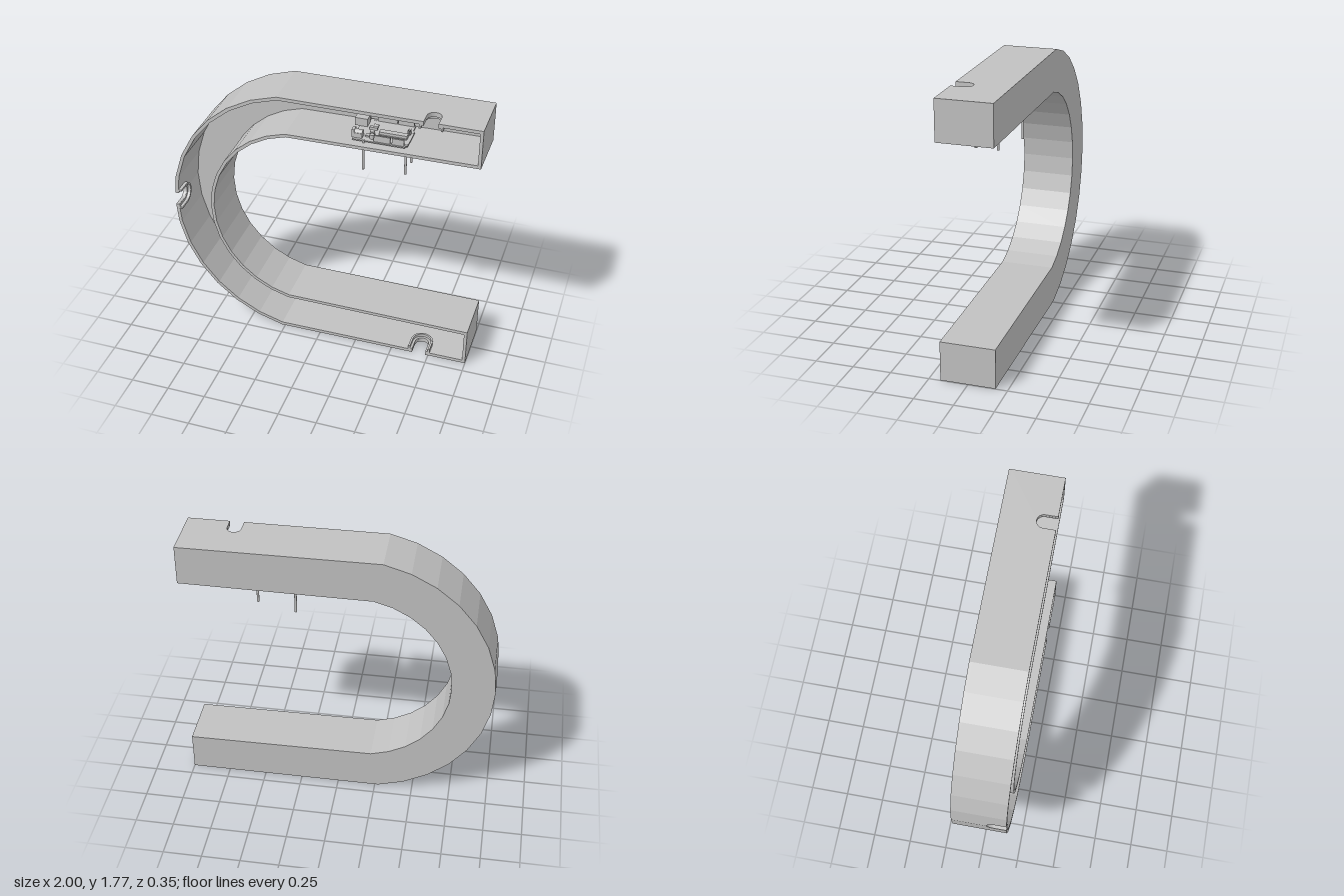
import * as THREE from 'three';
import { mergeGeometries } from 'three/addons/utils/BufferGeometryUtils.js';

const grey = new THREE.MeshStandardMaterial({ color: 0xc0c0c0 });
grey.name = 'plain grey';

const CX = -0.097, CY = 0.886, END = 1;       // centre of the bend, end of the arms
const BACK = -0.175, FRONT = 0.175, WALL = 0.02;
const SLOT_X = 0.687, SLOT_R = 0.045, SLOT_Z = 0.095;

function add(parent, name, geometry, x = 0, y = 0, z = 0) {
  const mesh = new THREE.Mesh(geometry, grey);
  mesh.name = name;
  mesh.position.set(x, y, z);
  parent.add(mesh);
  return mesh;
}

// U path from the lower arm's end, round the bend, to the upper arm's end
function uPath(radius, endHalf) {
  const pts = [new THREE.Vector2(END, CY - endHalf)];
  for (let k = -7; k <= 7; k++) {
    const a = k * Math.PI / 16;
    pts.push(new THREE.Vector2(CX - radius * Math.cos(a), CY + radius * Math.sin(a)));
  }
  pts.push(new THREE.Vector2(END, CY + endHalf));
  return pts;
}

// One mitred wall panel between two paths, with an optional round-ended slot
function panel(p0, p1, q0, q1, slotAt) {
  const z0 = BACK + WALL, pts = [[0, z0], [1, z0]];
  if (slotAt !== 1) pts.push([1, FRONT]);
  if (slotAt !== undefined) {
    const h = SLOT_R / p0.distanceTo(p1), arc = [[slotAt + h, FRONT]];
    for (let i = 0; i <= 16; i++) {
      const a = i * Math.PI / 16;
      arc.push([slotAt + h * Math.cos(a), SLOT_Z - SLOT_R * Math.sin(a)]);
    }
    arc.push([slotAt - h, FRONT]);
    pts.push(...arc.filter(([u]) => u > -1e-6 && u < 1 + 1e-6));
  }
  if (slotAt !== 0) pts.push([0, FRONT]);
  const shape = new THREE.Shape(pts.map(([u, z]) => new THREE.Vector2(u, z)));
  const geo = new THREE.ExtrudeGeometry(shape, { depth: 1, bevelEnabled: false });
  const pos = geo.attributes.position;
  for (let i = 0; i < pos.count; i++) {
    const u = pos.getX(i), z = pos.getY(i), t = pos.getZ(i);
    const p = p0.clone().lerp(p1, u).lerp(q0.clone().lerp(q1, u), t);
    pos.setXYZ(i, p.x, p.y, z);
  }
  geo.computeVertexNormals();
  return geo;
}

function wall(a, b, slots = {}) {
  const panels = [];
  for (let i = 0; i < a.length - 1; i++) panels.push(panel(a[i], a[i + 1], b[i], b[i + 1], slots[i]));
  return mergeGeometries(panels);
}

// U-shaped collar around a slot
function collar(inner, outer, depth) {
  const s = new THREE.Shape();
  s.moveTo(-outer, FRONT);
  s.lineTo(-outer, SLOT_Z);
  s.absarc(0, SLOT_Z, outer, Math.PI, 2 * Math.PI, false);
  s.lineTo(outer, FRONT);
  s.lineTo(inner, FRONT);
  s.lineTo(inner, SLOT_Z);
  s.absarc(0, SLOT_Z, inner, 2 * Math.PI, Math.PI, true);
  s.lineTo(-inner, FRONT);
  return new THREE.ExtrudeGeometry(s, { depth, bevelEnabled: false, curveSegments: 16 });
}

function slotCollar(along, inward, x, y) {
  const g = new THREE.Group();
  g.name = 'slotCollar';
  add(g, 'collarBase', collar(SLOT_R, 0.0725, 0.012), 0, 0, 0.018);
  add(g, 'collarLip', collar(0.06, 0.0725, 0.02), 0, 0, 0.03);
  const m = new THREE.Matrix4().makeBasis(along, new THREE.Vector3(0, 0, 1), inward);
  g.quaternion.setFromRotationMatrix(m);
  g.position.set(x, y, 0);
  return g;
}

// Circuit board laid out in board millimetres
function circuitBoard() {
  const g = new THREE.Group(), S = 0.005, Y = 1.54;
  g.name = 'circuitBoard';
  const bx = mx => 0.195 + mx * S, bz = my => 0.1345 - my * S;
  const block = (name, x0, x1, y0, y1, h0, h1) => add(g, name,
    new THREE.BoxGeometry((x1 - x0) * S, (h1 - h0) * S, (y1 - y0) * S),
    bx((x0 + x1) / 2), Y + (h0 + h1) / 2 * S, bz((y0 + y1) / 2));

  const outline = [[0, 0], [66, 0], [66, 2.5], [68.6, 5], [68.6, 38], [66, 40.5], [66, 51.5], [64.5, 53.3], [0, 53.3]];
  const plate = new THREE.ExtrudeGeometry(
    new THREE.Shape(outline.map(([x, y]) => new THREE.Vector2(x * S, y * S))),
    { depth: 1.6 * S, bevelEnabled: false });
  plate.rotateX(-Math.PI / 2);
  add(g, 'board', plate, bx(0), Y, bz(0));

  block('usbSocket', -6.2, 10, 32, 44, 1.6, 12);
  block('powerJackBody', -1.8, 11.5, 3.3, 12.2, 1.6, 8);
  block('powerJackFace', -1.8, 1.6, 3.3, 12.2, 8, 12);
  const barrel = add(g, 'powerJackBarrel', new THREE.CylinderGeometry(4.2 * S, 4.2 * S, 10 * S, 16),
    bx(6.5), Y + 7 * S, bz(7.75));
  barrel.rotation.z = Math.PI / 2;
  block('chip', 29, 64, 17, 24, 3, 6.5);
  block('chipSocket', 29, 64, 16, 25, 1.6, 3);
  block('smallChip', 17, 23, 34, 40, 1.6, 3);
  block('crystal', 14, 24, 27, 31, 1.6, 5);
  block('regulator', 14, 20, 9, 15, 1.6, 3.5);
  block('resetButton', 3, 9, 46, 52, 1.6, 5);

  // Header strips, each a base with two side rails
  for (const [x0, x1, row] of [[27, 47.5, 2.5], [49.5, 64.5, 2.5], [18.5, 43.5, 50.7], [44.5, 64.5, 50.7]]) {
    block('headerBase', x0, x1, row - 1.25, row + 1.25, 1.6, 8);
    for (const s of [-1, 1]) block('headerRail', x0, x1, row + s * 0.9 - 0.35, row + s * 0.9 + 0.35, 8, 10.1);
  }
  // Programming pins
  for (let i = 0; i < 3; i++) for (let j = 0; j < 2; j++) {
    const x = 62.5 + j * 2.54, y = 27 + i * 2.54;
    block('pin', x - 0.35, x + 0.35, y - 0.35, y + 0.35, 1.6, 9);
  }
  // Capacitors
  for (const y of [8, 16]) add(g, 'capacitor', new THREE.CylinderGeometry(3 * S, 3 * S, 5.5 * S, 12),
    bx(y === 8 ? 23 : 21), Y + 4.3 * S, bz(y));
  // Long mounting screws through the floor
  for (const [x, y] of [[14, 2.5], [15.3, 50.7], [66, 7.6], [66, 35.5]]) {
    add(g, 'mountingScrew', new THREE.CylinderGeometry(0.008, 0.008, 0.213, 12), bx(x), 1.4425, bz(y));
  }
  return g;
}

export function createModel() {
  const model = new THREE.Group();
  model.name = 'uShapedHousing';

  const outer = uPath(0.903, 0.884), outerIn = uPath(0.881, 0.862);
  const innerIn = uPath(0.648, 0.647), inner = uPath(0.627, 0.625);

  // Back plate
  const back = new THREE.Shape([...outer, ...inner.slice().reverse()]);
  add(model, 'backPlate', new THREE.ExtrudeGeometry(back, { depth: WALL, bevelEnabled: false }), 0, 0, BACK);

  // Side walls; slots sit in both arms and at the middle of the bend
  const last = outer.length - 2;
  add(model, 'outerWall', wall(outer, outerIn, {
    0: (END - SLOT_X) / (END - outer[1].x),
    7: 1,
    8: 0,
    [last]: (SLOT_X - outer[last].x) / (END - outer[last].x),
  }));
  add(model, 'innerWall', wall(innerIn, inner));

  // Arm end caps
  for (const s of [-1, 1]) {
    add(model, 'endCap', new THREE.BoxGeometry(WALL, 0.862 - 0.647, FRONT - BACK - WALL),
      END - WALL / 2, CY + s * (0.862 + 0.647) / 2, WALL / 2);
  }

  // Slot collars
  const v = (x, y) => new THREE.Vector3(x, y, 0);
  model.add(slotCollar(v(1, 0), v(0, -1), SLOT_X, CY + 0.884));
  model.add(slotCollar(v(-1, 0), v(0, 1), SLOT_X, CY - 0.884));
  model.add(slotCollar(v(0, 1), v(1, 0), CX - 0.903, CY));

  model.add(circuitBoard());
  return model;
}
